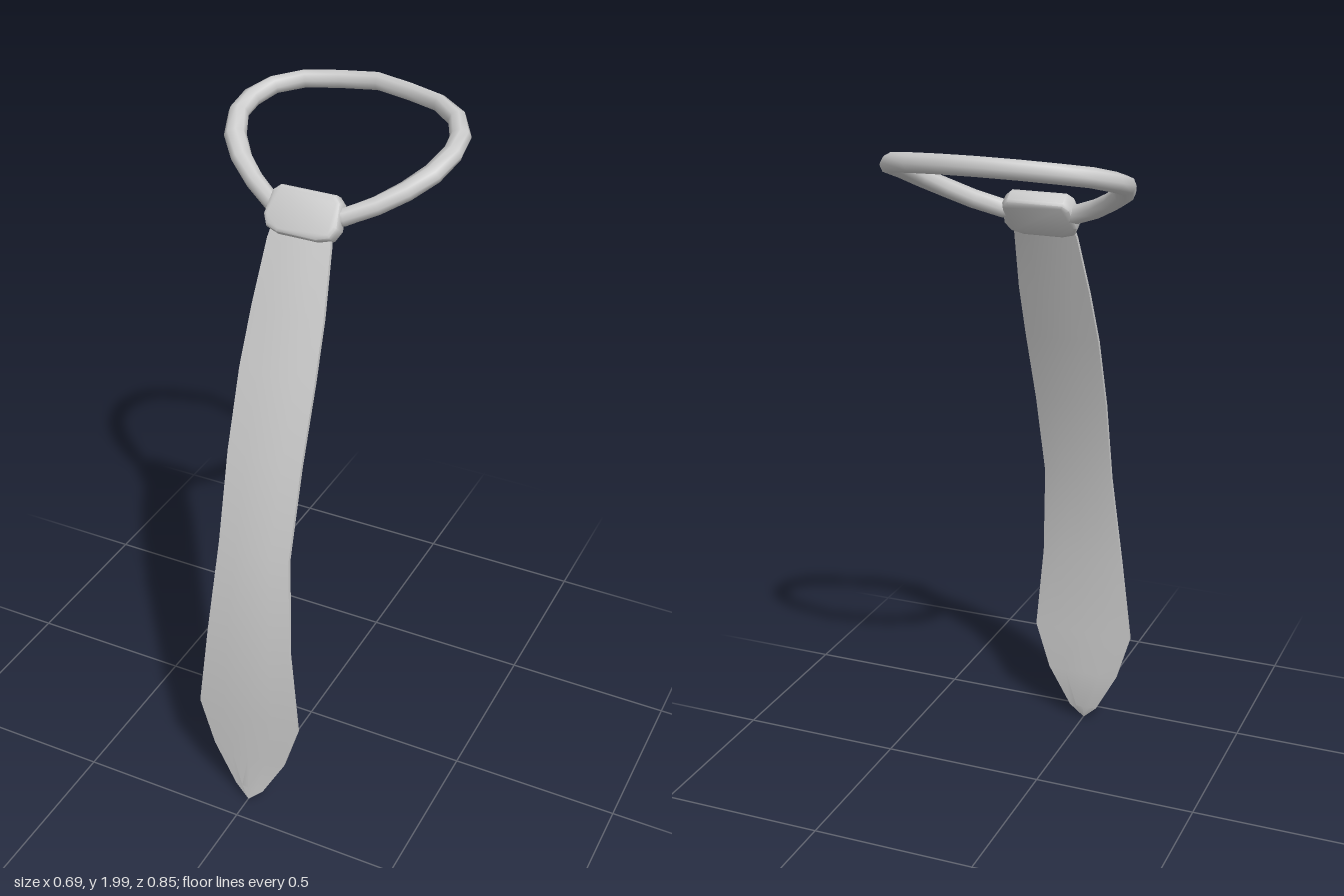
import * as THREE from 'three';
import { toCreasedNormals } from 'three/addons/utils/BufferGeometryUtils.js';

const material = new THREE.MeshStandardMaterial({ color: 0xcccccc });

// Skin a list of rings (equal numbers of Vector3), optionally joined end to end
function loft(rings, loop) {
  const n = rings[0].length, m = rings.length, index = [];
  for (let i = 0; i < (loop ? m : m - 1); i++) {
    const k = (i + 1) % m;
    for (let j = 0; j < n; j++) {
      const l = (j + 1) % n;
      const a = i * n + j, b = i * n + l, c = k * n + l, d = k * n + j;
      index.push(a, b, c, a, c, d);
    }
  }
  const geo = new THREE.BufferGeometry().setFromPoints(rings.flat());
  geo.setIndex(index);
  geo.computeVertexNormals();
  return geo;
}

function addPart(group, name, geometry) {
  const mesh = new THREE.Mesh(geometry, material);
  mesh.name = name;
  group.add(mesh);
  return mesh;
}

// Long hanging blade: lens-shaped sections from the knot down to the point
function bladeGeometry() {
  // y, z, half width, half thickness at the middle
  const sections = [
    [1.77, 0.035, 0.08, 0.012], [1.70, 0.07, 0.092, 0.014], [1.53, 0.137, 0.106, 0.014],
    [1.37, 0.203, 0.112, 0.014], [1.15, 0.282, 0.111, 0.014], [0.89, 0.352, 0.108, 0.014],
    [0.60, 0.397, 0.13, 0.013], [0.33, 0.408, 0.16, 0.011], [0.18, 0.41, 0.115, 0.009],
    [0.05, 0.416, 0.045, 0.006], [0.008, 0.424, 0.002, 0.002],
  ];
  const across = [1, 0.5, 0, -0.5, -1];
  const rings = sections.map(([y, z, w, t]) => {
    const side = (s) => across.map((u) =>
      new THREE.Vector3(u * w, y, z + s * t * (1 - 0.55 * u * u)));
    return [...side(1), ...side(-1).reverse()];
  });
  return toCreasedNormals(loft(rings, false), 0.7);
}

// Neck loop: closed band of octagonal sections rising to the back
function neckLoopGeometry() {
  // x, y, z, half width of the band, from the front to the back
  const half = [
    [0, 1.765, 0.04, 0.02], [0.105, 1.775, 0.022, 0.023], [0.178, 1.805, -0.02, 0.026],
    [0.24, 1.84, -0.065, 0.03], [0.288, 1.875, -0.12, 0.031], [0.314, 1.91, -0.19, 0.029],
    [0.308, 1.93, -0.255, 0.029], [0.272, 1.95, -0.318, 0.026], [0.2, 1.963, -0.367, 0.02],
    [0.105, 1.97, -0.39, 0.019], [0, 1.975, -0.41, 0.018],
  ];
  const mirrored = half.slice(1, -1).reverse().map(([x, y, z, r]) => [-x, y, z, r]);
  const path = [...half, ...mirrored];
  const point = (i) => new THREE.Vector3(...path[(i + path.length) % path.length].slice(0, 3));
  const up = new THREE.Vector3(0, 1, 0);
  const rings = path.map((p, i) => {
    const along = point(i + 1).sub(point(i - 1)).normalize();
    const out = along.clone().cross(up).normalize();
    const down = along.clone().cross(out);
    return Array.from({ length: 8 }, (_, j) => {
      const a = (j / 8) * Math.PI * 2;
      return point(i).addScaledVector(out, Math.cos(a) * p[3]).addScaledVector(down, Math.sin(a) * 0.026);
    });
  });
  return loft(rings, true);
}

// Knot: bevelled block with cut corners, narrower along its lower edge
function knotGeometry() {
  const outline = [
    [-0.055, -0.052], [0.055, -0.052], [0.085, -0.042], [0.096, -0.02],
    [0.088, 0.04], [0.075, 0.052], [-0.075, 0.052], [-0.088, 0.04],
    [-0.096, -0.02], [-0.085, -0.042],
  ].map(([x, y]) => new THREE.Vector2(x, y));
  const geo = new THREE.ExtrudeGeometry(new THREE.Shape(outline), {
    depth: 0.03, bevelEnabled: true, bevelThickness: 0.013, bevelSize: 0.012, bevelSegments: 2,
  });
  geo.translate(0, 0, -0.015);
  return toCreasedNormals(geo, 0.8);
}

export function createModel() {
  const group = new THREE.Group();
  group.name = 'necktie';
  addPart(group, 'blade', bladeGeometry());
  addPart(group, 'neckLoop', neckLoopGeometry());
  const knot = addPart(group, 'knot', knotGeometry());
  knot.position.set(0, 1.766, 0.035);
  knot.rotation.x = -0.59;
  return group;
}
